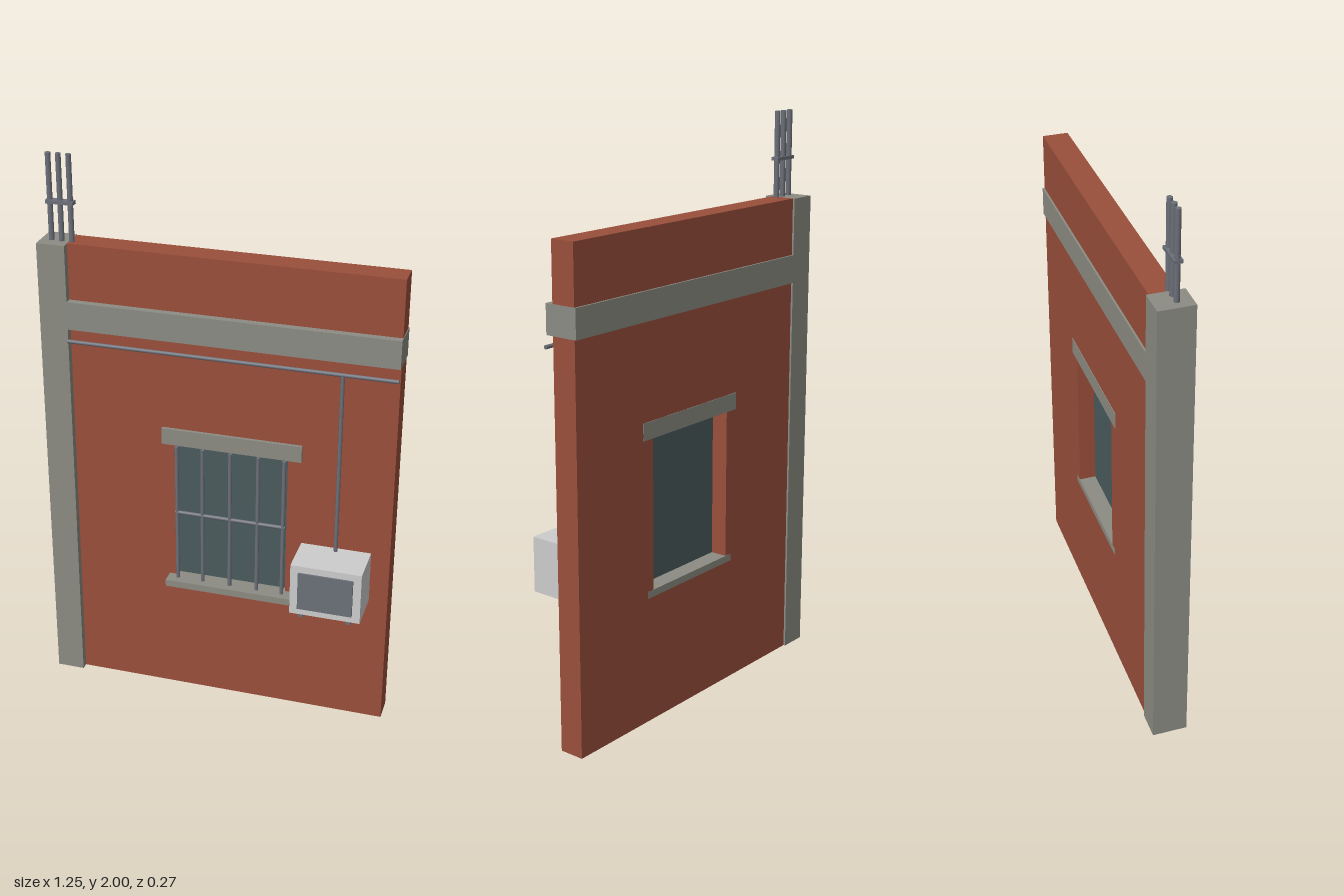
import * as THREE from 'three';

export function createModel() {
  const root = new THREE.Group();
  const mat = (name, color) => {
    const m = new THREE.MeshStandardMaterial({ color });
    m.name = name;
    return m;
  };
  const brick = mat('brick red', 0x9a4f3b);
  const concrete = mat('concrete grey', 0x8c8c84);
  const metal = mat('metal grey', 0x6c7079);
  const glass = mat('dark glass', 0x4b5b5d);
  const casing = mat('casing white', 0xcdcdcd);

  const add = (name, geo, material, parent = root) => {
    const m = new THREE.Mesh(geo, material);
    m.name = name;
    parent.add(m);
    return m;
  };
  // Box from its minimum and maximum corners
  const box = (name, material, [x0, y0, z0], [x1, y1, z1], parent) => {
    const m = add(name, new THREE.BoxGeometry(x1 - x0, y1 - y0, z1 - z0), material, parent);
    m.position.set((x0 + x1) / 2, (y0 + y1) / 2, (z0 + z1) / 2);
    return m;
  };
  // Round bar between two points
  const bar = (name, r, a, b, parent) => {
    const from = new THREE.Vector3(...a), to = new THREE.Vector3(...b);
    const dir = to.clone().sub(from);
    const m = add(name, new THREE.CylinderGeometry(r, r, dir.length(), 8), metal, parent);
    m.position.copy(from).add(to).multiplyScalar(0.5);
    m.quaternion.setFromUnitVectors(new THREE.Vector3(0, 1, 0), dir.normalize());
    return m;
  };
  const rect = (P, x0, y0, x1, y1) => {
    const p = new P();
    p.moveTo(x0, y0);
    p.lineTo(x1, y0);
    p.lineTo(x1, y1);
    p.lineTo(x0, y1);
    p.closePath();
    return p;
  };

  // Brick wall with a window opening
  const outline = rect(THREE.Shape, -0.53, 0, 0.62, 1.7);
  outline.holes.push(rect(THREE.Path, -0.15, 0.47, 0.25, 1.01));
  const wall = add('wall', new THREE.ExtrudeGeometry(outline, { depth: 0.089, bevelEnabled: false }), brick);
  wall.position.z = -0.128;

  // Concrete frame
  box('column', concrete, [-0.625, 0, -0.135], [-0.525, 1.7, -0.013]);
  box('beam', concrete, [-0.525, 1.4, -0.135], [0.622, 1.5, -0.013]);

  // Window with lintel, sill and security bars
  const win = new THREE.Group();
  win.name = 'window';
  root.add(win);
  box('lintel', concrete, [-0.2, 1.005, -0.13], [0.3, 1.065, -0.027], win);
  box('sill', concrete, [-0.18, 0.45, -0.129], [0.28, 0.475, 0.012], win);
  box('pane', glass, [-0.15, 0.475, -0.068], [0.25, 1.005, -0.06], win);
  for (const x of [-0.143, -0.05, 0.05, 0.15, 0.242]) {
    bar('windowBar', 0.007, [x, 0.475, -0.02], [x, 1.005, -0.02], win);
  }
  bar('windowCrossBar', 0.007, [-0.15, 0.745, -0.02], [0.25, 0.745, -0.02], win);

  // Conduit along the wall and down to the air conditioner
  bar('conduitRun', 0.007, [-0.525, 1.36, -0.006], [0.62, 1.36, -0.006]);
  bar('conduitDrop', 0.007, [0.435, 0.68, -0.006], [0.435, 1.36, -0.006]);

  // Air conditioner on two brackets
  const ac = new THREE.Group();
  ac.name = 'airConditioner';
  root.add(ac);
  box('acCasing', casing, [0.308, 0.5, -0.026], [0.556, 0.692, 0.128], ac);
  box('acGrille', metal, [0.336, 0.525, 0.127], [0.528, 0.667, 0.135], ac);
  for (const x of [0.345, 0.513]) {
    box('acBracket', metal, [x - 0.008, 0.48, -0.039], [x + 0.008, 0.5, 0.115], ac);
  }

  // Reinforcement rods tied above the column
  const rods = new THREE.Group();
  rods.name = 'reinforcement';
  root.add(rods);
  for (const x of [-0.588, -0.552, -0.516]) {
    bar('rod', 0.01, [x, 1.69, -0.063], [x, 2, -0.063], rods);
  }
  box('rodTie', metal, [-0.6, 1.829, -0.077], [-0.502, 1.841, -0.049], rods);

  return root;
}
